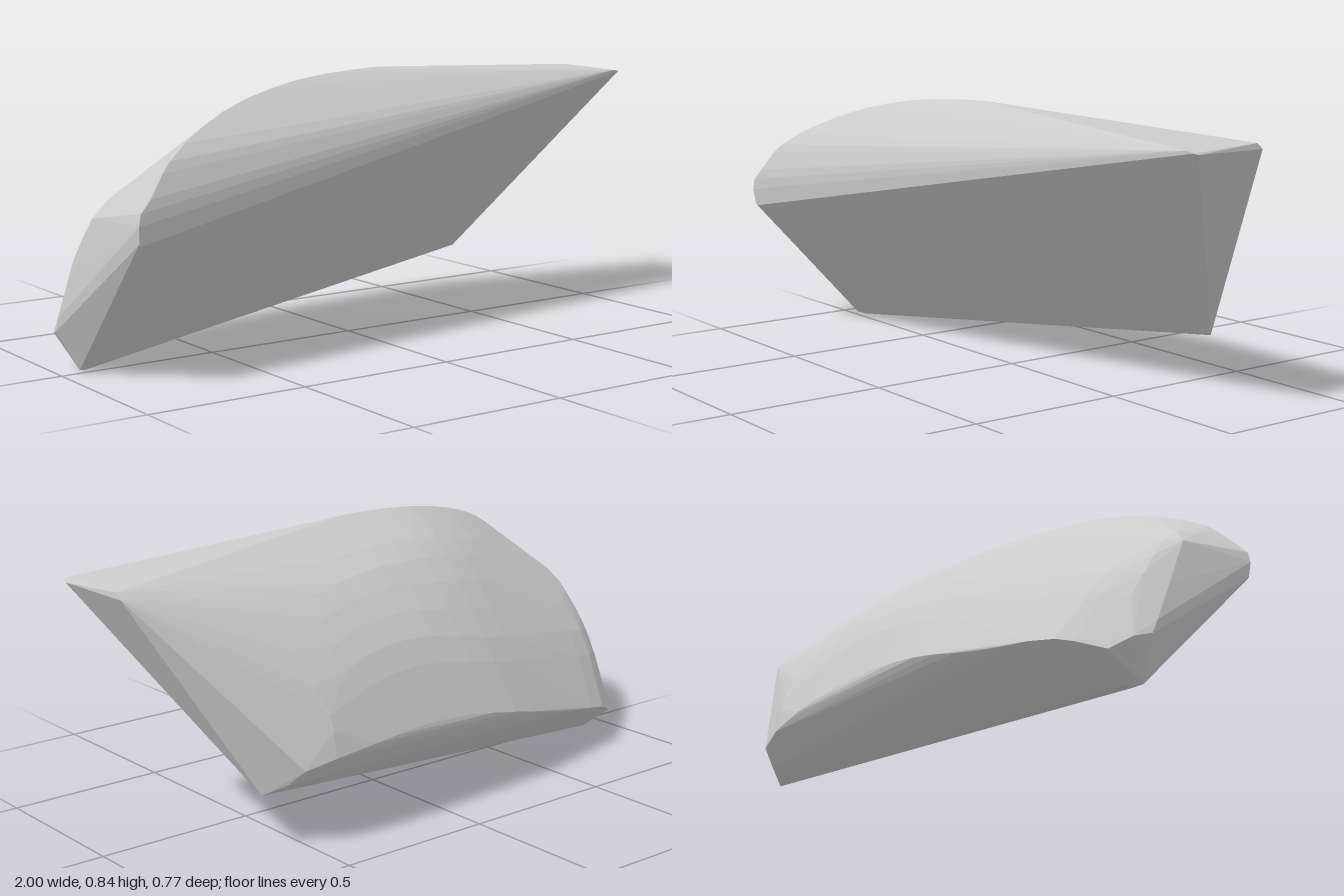
import * as THREE from 'three';
import { ConvexGeometry } from 'three/addons/geometries/ConvexGeometry.js';

const v = ([x, y, z]) => new THREE.Vector3(x, y, z);

// Cross-sections of the dome, each from the front ridge over to the back edge.
const sections = [
  [[-0.91, 0.55, 0.376], [-0.915, 0.525, 0.15], [-0.95, 0.33, -0.01], [-0.94, 0.075, -0.135]],
  [[-0.83, 0.642, 0.34], [-0.81, 0.57, 0.15], [-0.86, 0.36, -0.065], [-0.82, 0.13, -0.218]],
  [[-0.6, 0.755, 0.24], [-0.58, 0.63, 0.05], [-0.56, 0.41, -0.16], [-0.55, 0.185, -0.285]],
  [[-0.3, 0.823, 0.166], [-0.27, 0.7, -0.04], [-0.25, 0.48, -0.24], [-0.3, 0.25, -0.338]],
  [[0, 0.843, 0.125], [0.05, 0.725, -0.1], [0.1, 0.54, -0.27], [0.02, 0.3, -0.36]],
  [[0.06, 0.842, 0.115], [0.35, 0.7, -0.165], [0.35, 0.5, -0.308], [0.3, 0.29, -0.383]],
  [[0.08, 0.84, 0.11], [0.5, 0.66, -0.2], [0.45, 0.4, -0.355], [0.45, 0.275, -0.383]],
];

// Upright face at the low end, with its sharp outer corner.
const endFace = [
  [-0.95, 0.43, 0.377], [-0.94, 0.425, 0.377],
  [-0.953, 0.48, 0.385], [-0.945, 0.515, 0.384],
  [-0.96, 0.47, 0.13], [-0.985, 0.3, 0.05],
  [-1, 0.17, -0.01], [-1, 0.125, -0.03], [-0.983, 0.11, -0.08],
];

// Corners of the flat underside and of the blunt tip.
const corners = [
  [-0.935, 0.005, -0.015], [-0.91, 0, -0.03], [-0.9, 0.005, -0.055], [-0.88, 0.035, -0.1],
  [0.63, 0.172, -0.265], [0.61, 0.17, -0.262], [0.58, 0.208, -0.322], [0.55, 0.255, -0.367],
  [0.997, 0.785, 0.153], [0.97, 0.79, 0.157], [1, 0.78, 0.14],
  [0.98, 0.793, -0.095], [0.98, 0.775, -0.115],
];

export function createModel() {
  const group = new THREE.Group();
  const points = [...endFace, ...corners].map(v);

  // Smooth the dome along each section, then across the sections.
  const arcs = sections.map((s) => new THREE.CatmullRomCurve3(s.map(v)));
  const across = 9;
  for (let i = 0; i <= across; i++) {
    const rail = new THREE.CatmullRomCurve3(arcs.map((a) => a.getPoint(i / across)));
    points.push(...rail.getPoints(18));
  }

  const shell = new THREE.Mesh(
    new ConvexGeometry(points),
    new THREE.MeshStandardMaterial({ color: 0xcccccc, flatShading: true }),
  );
  shell.name = 'domedSlab';
  group.add(shell);
  return group;
}
